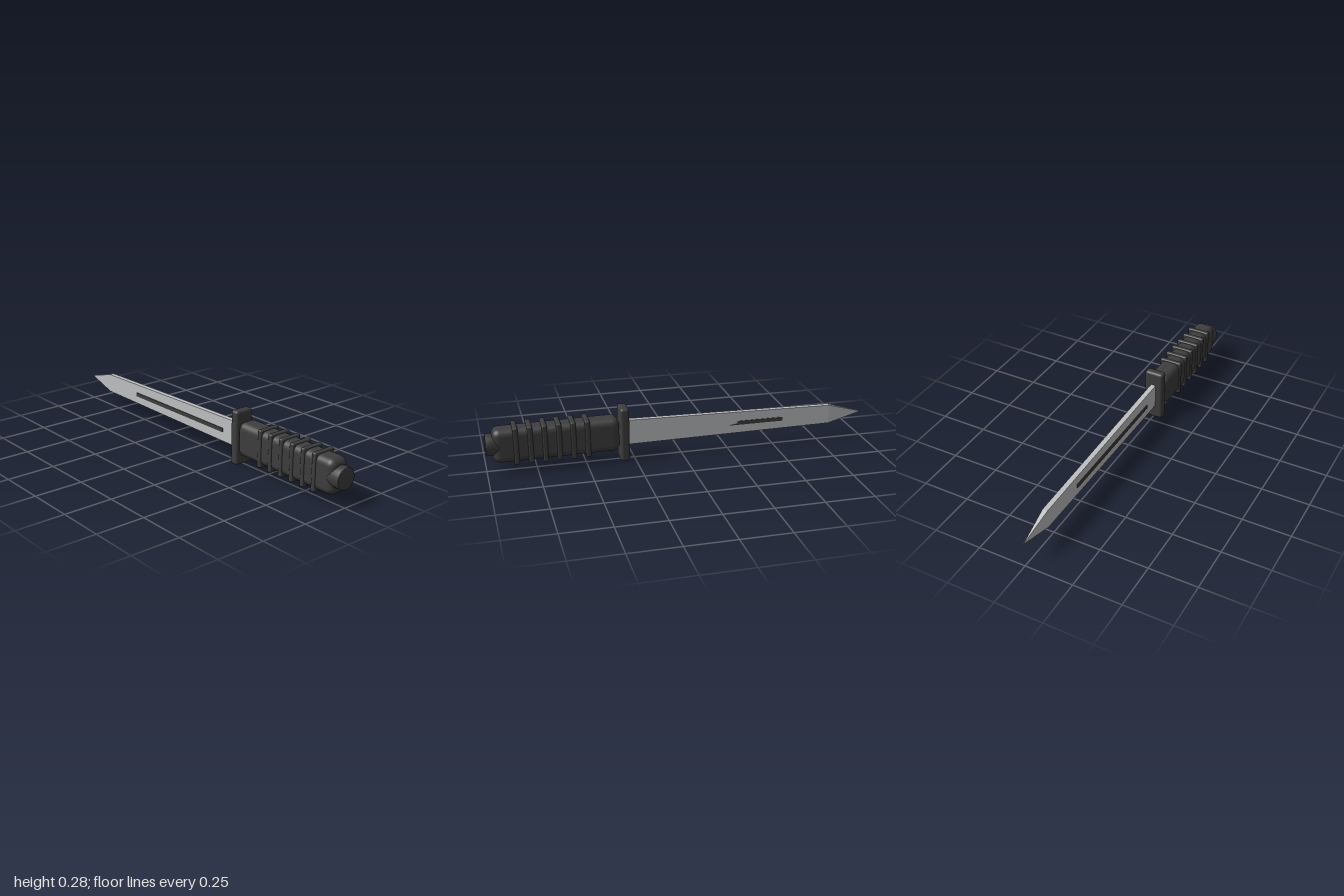
import * as THREE from 'three';
import { RoundedBoxGeometry } from 'three/addons/geometries/RoundedBoxGeometry.js';

const grip = new THREE.MeshStandardMaterial({ color: 0x3e3e3e });
grip.name = 'dark grip';
const steel = new THREE.MeshStandardMaterial({ color: 0xbfc0c2 });
steel.name = 'steel';

function add(parent, name, geometry, material, x = 0, y = 0, z = 0) {
  const mesh = new THREE.Mesh(geometry, material);
  mesh.name = name;
  mesh.position.set(x, y, z);
  parent.add(mesh);
  return mesh;
}

// Blade stations from tip to root: z, bottom, top, half thickness
const stations = [
  [-1, 0.1355, 0.1365, 0.0005],
  [-0.81, 0.09, 0.191, 0.0135],
  [0.31, 0.079, 0.211, 0.0135],
];

function bladeGeometry() {
  const box = new THREE.BoxGeometry(2, 2, 2, 1, 1, 2);
  const p = box.attributes.position;
  for (let i = 0; i < p.count; i++) {
    const [z, bottom, top, half] = stations[Math.round(p.getZ(i)) + 1];
    p.setXYZ(i, p.getX(i) * half, p.getY(i) > 0 ? top : bottom, z);
  }
  const flat = box.toNonIndexed();
  flat.computeVertexNormals();
  return flat;
}

// Thin groove plate from side-profile points [z, y]
function grooveGeometry(points) {
  const shape = new THREE.Shape(points.map(([z, y]) => new THREE.Vector2(-z, y)));
  const geo = new THREE.ExtrudeGeometry(shape, { depth: 0.005, bevelEnabled: false });
  return geo.rotateY(Math.PI / 2);
}

export function createModel() {
  const group = new THREE.Group();
  group.name = 'knife';

  add(group, 'blade', bladeGeometry(), steel);

  // Short tapered groove on the left face, long one on the right face
  add(group, 'leftGroove', grooveGeometry([
    [-0.25, 0.129], [-0.3, 0.137], [-0.3, 0.15], [-0.55, 0.15], [-0.55, 0.129],
  ]), grip, 0.0105);
  add(group, 'rightGroove', grooveGeometry([
    [0.18, 0.129], [0.18, 0.15], [-0.55, 0.15], [-0.55, 0.129],
  ]), grip, -0.0175);

  add(group, 'guard', new RoundedBoxGeometry(0.104, 0.284, 0.047, 4, 0.015), grip, 0, 0.143, 0.304);

  // Handle leans down slightly towards the pommel
  const handle = add(group, 'handle', new RoundedBoxGeometry(0.112, 0.177, 0.635, 6, 0.036),
    grip, 0, 0.145, 0.648);
  handle.rotation.x = 0.011;

  // Raised grip rings
  for (let i = 0; i < 6; i++) {
    const z = 0.495 + i * 0.0715;
    const ring = add(group, 'gripRing', new RoundedBoxGeometry(0.122, 0.194, 0.026, 3, 0.008),
      grip, 0, 0.1455 - (z - 0.5) * 0.008, z);
    ring.rotation.x = 0.011;
  }

  // Round pommel with a softened rim
  const profile = [[0, 0], [0.056, 0], [0.056, 0.075], [0.0545, 0.079], [0.052, 0.08], [0, 0.08]]
    .map(([r, h]) => new THREE.Vector2(r, h));
  const pommel = add(group, 'pommel', new THREE.LatheGeometry(profile, 40), grip, 0, 0.144, 0.92);
  pommel.rotation.x = Math.PI / 2;

  return group;
}
